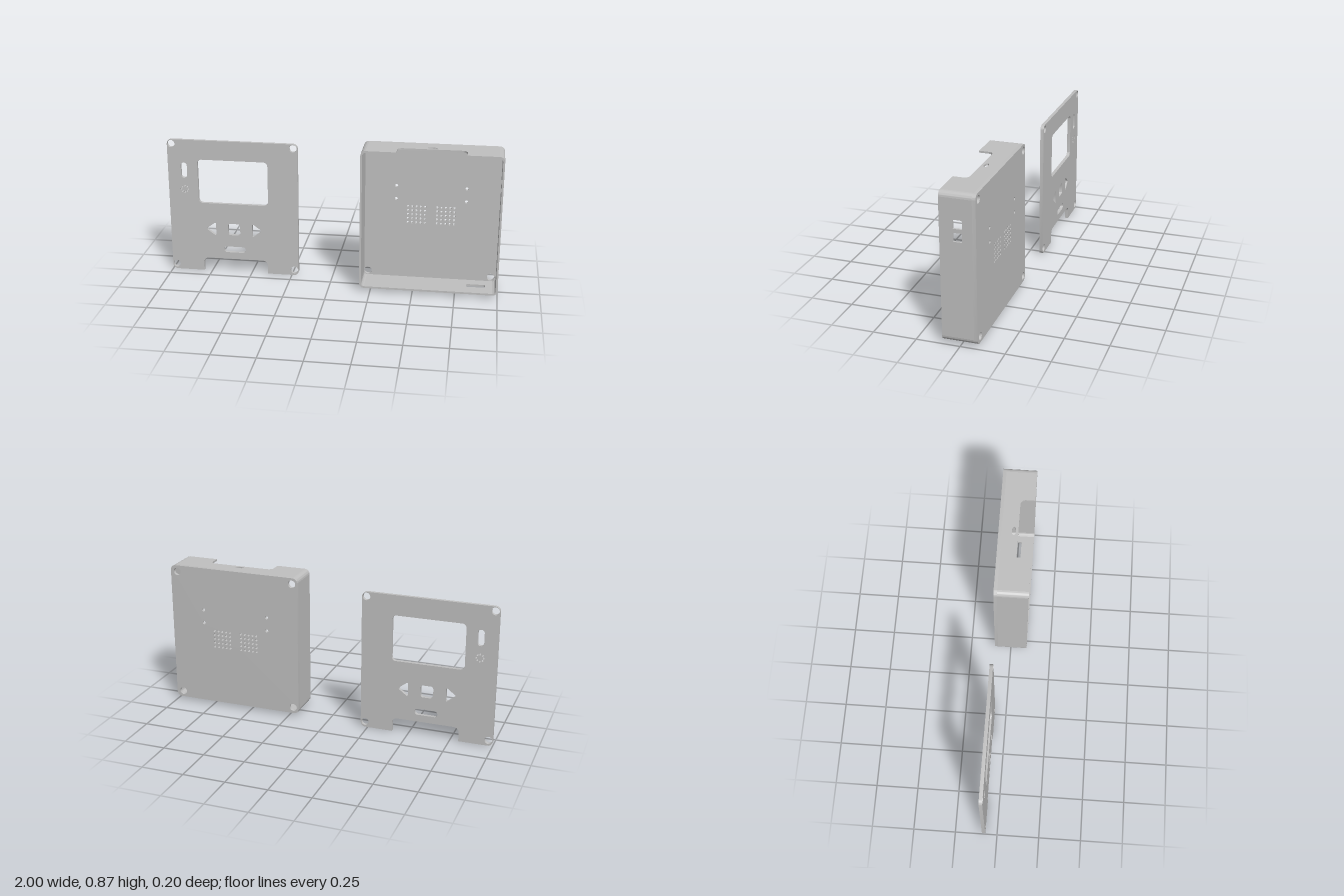
import * as THREE from 'three';
import { toCreasedNormals } from 'three/addons/utils/BufferGeometryUtils.js';

const K = 0.5523; // cubic approximation of a quarter circle

// Trace a closed polygon of [x, y, cornerRadius] points
function trace(path, pts) {
  pts.forEach(([x, y, r = 0], i) => {
    const p = new THREE.Vector2(x, y);
    const toward = (q, d) => p.clone().add(new THREE.Vector2(q[0], q[1]).sub(p).setLength(d));
    const prev = pts[(i + pts.length - 1) % pts.length], next = pts[(i + 1) % pts.length];
    const a = r ? toward(prev, r) : p, b = r ? toward(next, r) : p;
    if (i === 0) path.moveTo(a.x, a.y); else path.lineTo(a.x, a.y);
    if (r) {
      const c1 = a.clone().lerp(p, K), c2 = b.clone().lerp(p, K);
      path.bezierCurveTo(c1.x, c1.y, c2.x, c2.y, b.x, b.y);
    }
  });
  path.closePath();
  return path;
}

const rectPoints = (x0, y0, x1, y1, r = 0) => [[x0, y0, r], [x1, y0, r], [x1, y1, r], [x0, y1, r]];
const hole = (pts) => trace(new THREE.Path(), pts);
const rectHole = (x0, y0, x1, y1, r) => hole(rectPoints(x0, y0, x1, y1, r));
const ovalHole = (x, y, rx, ry = rx) => new THREE.Path().absellipse(x, y, rx, ry, 0, Math.PI * 2);

function slab(shape, depth, holes = []) {
  shape.holes.push(...holes);
  return new THREE.ExtrudeGeometry(shape, { depth, bevelEnabled: false, curveSegments: 8 });
}

export function createModel() {
  const model = new THREE.Group();
  const grey = new THREE.MeshStandardMaterial({ color: 0xbfbfbf });
  grey.name = 'grey plastic';

  const add = (parent, name, geometry, x = 0, y = 0, z = 0) => {
    const mesh = new THREE.Mesh(toCreasedNormals(geometry, 0.6), grey);
    mesh.name = name;
    mesh.position.set(x, y, z);
    parent.add(mesh);
  };

  // Front panel with a cable notch in its lower edge
  const panelShape = trace(new THREE.Shape(), [
    [-1, 0, 0.03], [-0.8, 0], [-0.8, 0.085, 0.03], [-0.4, 0.085, 0.03], [-0.4, 0],
    [-0.207, 0, 0.03], [-0.207, 0.84, 0.03], [-1, 0.84, 0.03],
  ]);
  const panelHoles = [
    rectHole(-0.818, 0.444, -0.39, 0.72, 0.025),                          // screen
    rectHole(-0.921, 0.6, -0.883, 0.697, 0.0185),                         // switch slot
    rectHole(-0.642, 0.242, -0.567, 0.316, 0.015),                        // centre button
    rectHole(-0.671, 0.128, -0.535, 0.166, 0.0185),                       // lower slot
    hole([[-0.779, 0.278, 0.013], [-0.717, 0.232, 0.013], [-0.717, 0.324, 0.013]]), // arrows
    hole([[-0.43, 0.278, 0.013], [-0.492, 0.324, 0.013], [-0.492, 0.232, 0.013]]),
  ];
  for (const x of [-0.975, -0.234])
    for (const y of [0.034, 0.813]) panelHoles.push(ovalHole(x, y, 0.023));
  for (let i = 0; i < 8; i++) {
    const a = (i / 8) * Math.PI * 2;
    panelHoles.push(ovalHole(-0.902 + 0.021 * Math.cos(a), 0.529 + 0.021 * Math.sin(a), 0.0055));
  }
  add(model, 'frontPanel', slab(panelShape, 0.02, panelHoles), 0, 0, -0.09);

  // Rear case: a tray open to the front
  const rearCase = new THREE.Group();
  rearCase.name = 'rearCase';
  model.add(rearCase);
  const L = 0.185, R = 1, B = 0.021, T = 0.874, r = 0.03, wall = 0.011;
  const floor = 0.02, back = -0.1, front = 0.1, inner = back + floor;

  // Back plate with screw holes, mounting holes and two speaker grilles
  const backHoles = [];
  for (const x of [0.219, 0.958])
    for (const y of [0.058, 0.837]) backHoles.push(ovalHole(x, y, 0.023));
  for (const x of [0.382, 0.794])
    for (const y of [0.53, 0.612]) backHoles.push(ovalHole(x, y, 0.01));
  for (const x0 of [0.452, 0.625])
    for (let i = 0; i < 5; i++)
      for (let j = 0; j < 5; j++) backHoles.push(ovalHole(x0 + i * 0.0253, 0.385 + j * 0.0253, 0.007));
  const outline = trace(new THREE.Shape(), rectPoints(L, B, R, T, r));
  add(rearCase, 'backPlate', slab(outline, floor, backHoles), 0, 0, back);

  // Rounded corners of the case wall
  [[R - r, T - r], [L + r, T - r], [L + r, B + r], [R - r, B + r]].forEach(([x, y], i) => {
    const a = (i * Math.PI) / 2, b = a + Math.PI / 2;
    const s = new THREE.Shape();
    s.absarc(0, 0, r, a, b, false);
    s.absarc(0, 0, r - wall, b, a, true);
    s.closePath();
    add(rearCase, 'cornerWall', slab(s, front - inner), x, y, inner);
  });

  // Top and bottom walls, drawn as (x, -z)
  const topShape = trace(new THREE.Shape(), [
    [L + r, -front], [0.39, -front], [0.39, -0.015, 0.03], [0.79, -0.015, 0.03], [0.79, -front],
    [R - r, -front], [R - r, -inner], [L + r, -inner],
  ]);
  add(rearCase, 'topWall',
    slab(topShape, wall, [ovalHole(0.588, 0.011, 0.027, 0.012)]).rotateX(-Math.PI / 2), 0, T - wall);
  const bottomShape = trace(new THREE.Shape(), rectPoints(L + r, -front, R - r, -inner));
  add(rearCase, 'bottomWall',
    slab(bottomShape, wall, [rectHole(0.815, -0.02, 0.927, 0.018, 0.008)]).rotateX(-Math.PI / 2), 0, B);

  // Side walls, drawn as (-z, y); the left one has two square ports
  const sideShape = () => trace(new THREE.Shape(), rectPoints(-front, B + r, -inner, T - r));
  const ports = [0.605, 0.677].map((y) => rectHole(-0.025, y, 0.025, y + 0.05));
  add(rearCase, 'leftWall', slab(sideShape(), wall, ports).rotateY(Math.PI / 2), R - wall);
  add(rearCase, 'rightWall', slab(sideShape(), wall).rotateY(Math.PI / 2), L);

  return model;
}
